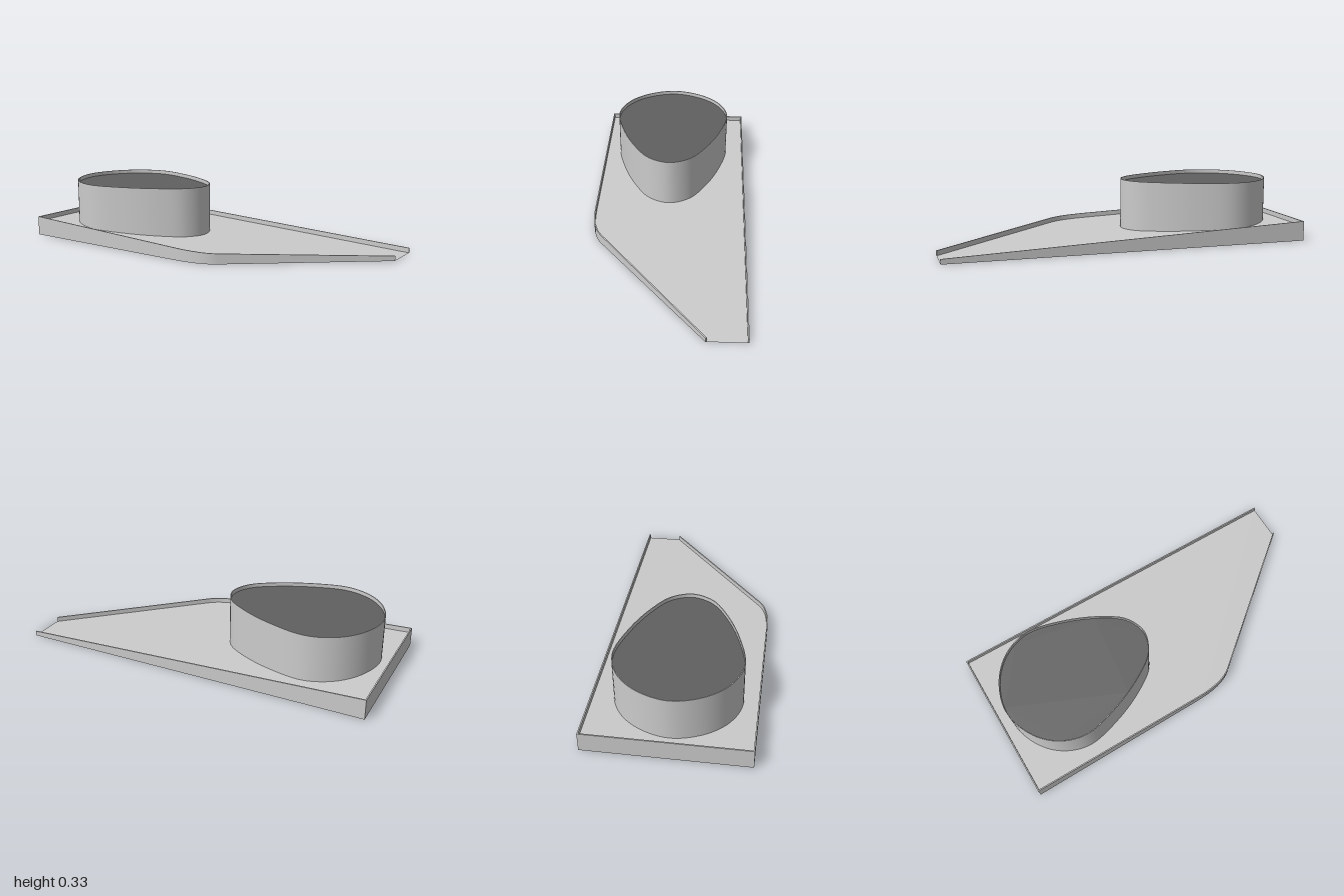
import * as THREE from 'three';
import { toCreasedNormals } from 'three/addons/utils/BufferGeometryUtils.js';

const V = (x, z) => new THREE.Vector2(x, z);
const floorY = (z) => 0.083 * (1 - z) / 2; // sloping tray floor
const LIP = 0.027;                         // side walls rise this far above it
const WALL = 0.007;

const grey = new THREE.MeshStandardMaterial({ color: 0xcccccc, side: THREE.DoubleSide });
const dark = new THREE.MeshStandardMaterial({ color: 0x606060, side: THREE.DoubleSide });

function mesh(name, geometry, material = grey) {
  const m = new THREE.Mesh(geometry, material);
  m.name = name;
  return m;
}

// Shape drawn in plan: its y is -z, so that a -90 degree turn lays it flat
const planShape = (pts) => new THREE.Shape(pts.map((p) => V(p.x, -p.y)));

// Tray outline (x, z), open at the front end, with one rounded bend
function trayPath() {
  const bend = new THREE.CubicBezierCurve(V(-0.427, 0.03), V(-0.427, 0.13), V(-0.41, 0.22), V(-0.368, 0.268));
  return [V(0.427, 1), V(0.427, -1), V(-0.427, -1), ...bend.getPoints(8), V(0.228, 1)];
}

// Same open path moved inward with mitred corners
function inset(path, d) {
  const normal = (a, b) => {
    const t = b.clone().sub(a).normalize();
    return V(t.y, -t.x).multiplyScalar(-1);
  };
  return path.map((p, i) => {
    const n1 = normal(path[Math.max(i - 1, 0)], path[Math.max(i, 1)]);
    const last = path.length - 1;
    const n2 = normal(path[Math.min(i, last - 1)], path[Math.min(i + 1, last)]);
    const m = n1.clone().add(n2).normalize();
    return p.clone().addScaledVector(m, -d / -m.dot(n1) * -1);
  });
}

// Upright wall following the path, its top edge parallel to the floor
function wallGeometry(path) {
  const inner = inset(path, -WALL);
  const pos = [];
  const rings = path.map((o, i) => {
    const n = inner[i];
    return [
      [o.x, 0, o.y], [o.x, floorY(o.y) + LIP, o.y],
      [n.x, floorY(n.y) + LIP, n.y], [n.x, 0, n.y],
    ];
  });
  const quad = (a, b, c, d) => pos.push(...a, ...b, ...c, ...a, ...c, ...d);
  for (let i = 0; i < rings.length - 1; i++) {
    for (let k = 0; k < 4; k++) {
      const j = (k + 1) % 4;
      quad(rings[i][k], rings[i + 1][k], rings[i + 1][j], rings[i][j]);
    }
  }
  quad(...rings[0]);
  quad(...rings[rings.length - 1].slice().reverse());
  const g = new THREE.BufferGeometry();
  g.setAttribute('position', new THREE.Float32BufferAttribute(pos, 3));
  g.computeVertexNormals();
  return toCreasedNormals(g, 0.4);
}

// Egg outline in plan, mirrored about its own axis
function eggPoints(d) {
  const half = [[0.17, -0.895], [0.285, -0.79], [0.3375, -0.64], [0.293, -0.43], [0.205, -0.235], [0.115, -0.117]];
  const cx = -0.0125, cz = -0.55;
  const ctrl = [[0, -0.945], ...half, [0, -0.073], ...half.slice().reverse().map(([x, z]) => [-x, z])];
  const curve = new THREE.CatmullRomCurve3(ctrl.map(([x, z]) => new THREE.Vector3(x, 0, z)), true);
  return curve.getPoints(96).slice(0, -1).map((p) =>
    V(cx + p.x * (1 - d / 0.3375), cz + (p.z - cz) * (1 - d / 0.436)));
}

export function createModel() {
  const group = new THREE.Group();
  const path = trayPath();

  // Sloping floor sheet
  const floor = new THREE.ShapeGeometry(planShape(inset(path, -WALL / 2)));
  floor.rotateX(-Math.PI / 2);
  const p = floor.attributes.position;
  for (let i = 0; i < p.count; i++) p.setY(i, floorY(p.getZ(i)));
  floor.computeVertexNormals();
  group.add(mesh('trayFloor', floor));

  // Tapering side and back walls
  group.add(mesh('trayWall', wallGeometry(path)));

  // Egg-shaped collar passing through the floor
  const ring = planShape(eggPoints(0));
  ring.holes.push(new THREE.Path(eggPoints(0.005).map((q) => V(q.x, -q.y))));
  const collar = new THREE.ExtrudeGeometry(ring, { depth: 0.327, bevelEnabled: false });
  collar.rotateX(-Math.PI / 2);
  group.add(mesh('collar', toCreasedNormals(collar, 0.6)));

  // Recessed dark top and closed underside of the collar
  const cap = new THREE.ShapeGeometry(planShape(eggPoints(0.004)));
  const top = mesh('collarTop', cap.clone().rotateX(-Math.PI / 2), dark);
  top.position.y = 0.305;
  const bottom = mesh('collarBottom', cap.clone().rotateX(-Math.PI / 2));
  bottom.position.y = 0.001;
  group.add(top, bottom);

  return group;
}
